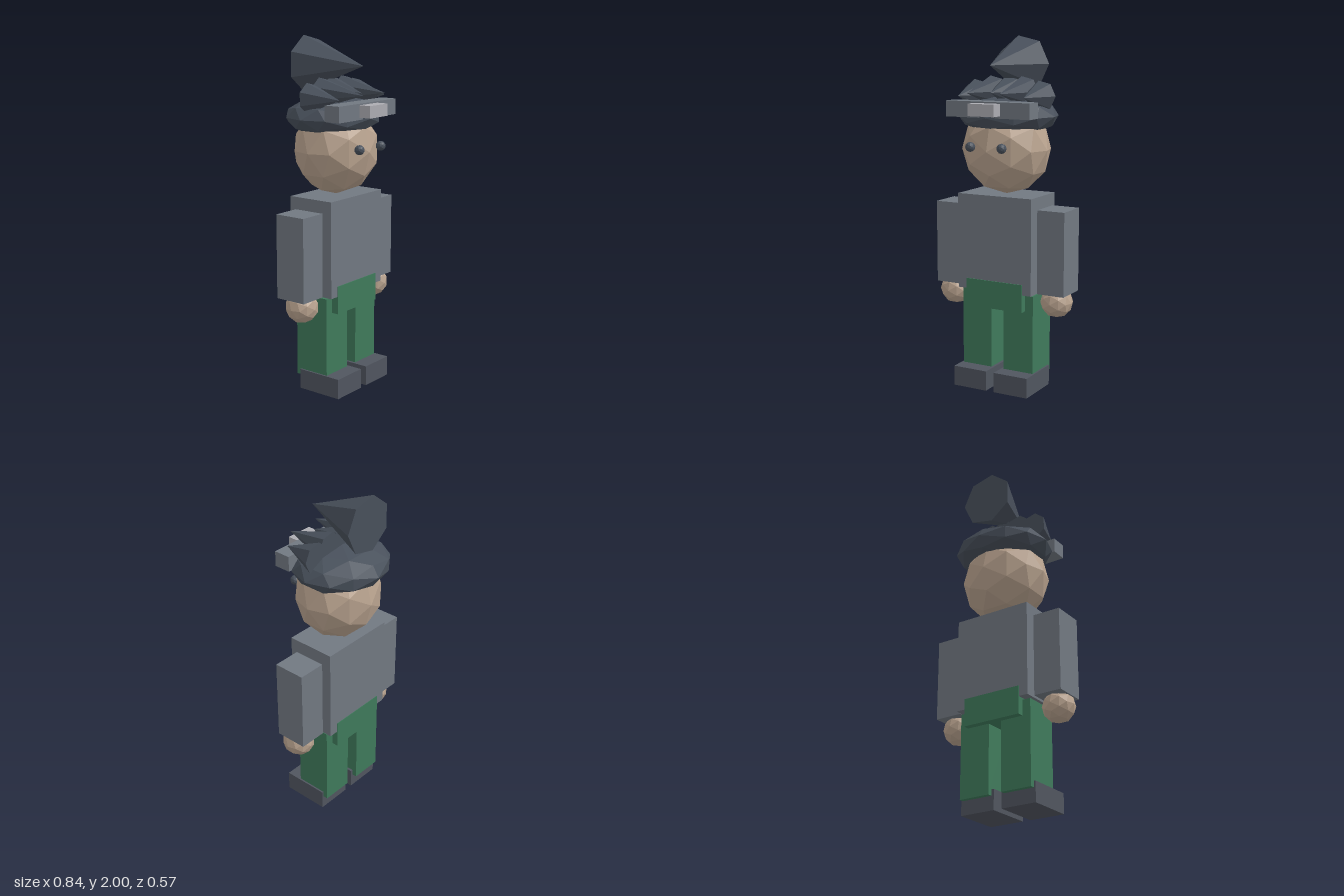
import * as THREE from 'three';

const paint = (name, color) =>
  new THREE.MeshStandardMaterial({ name, color, flatShading: true });

export function createModel() {
  const skin = paint('skin', 0xb8a28e);
  const cloth = paint('greyCloth', 0x717881);
  const green = paint('greenCloth', 0x3f7a5b);
  const shoe = paint('shoeGrey', 0x50555f);
  const hair = paint('darkHair', 0x48505b);
  const metal = paint('paleMetal', 0xacacb2);

  const model = new THREE.Group();
  model.name = 'figure';

  const add = (name, geometry, material) => {
    const mesh = new THREE.Mesh(geometry, material);
    mesh.name = name;
    model.add(mesh);
  };

  // Box given by its limits on each axis
  const box = (name, material, [x0, x1], [y0, y1], [z0, z1]) =>
    add(name, new THREE.BoxGeometry(x1 - x0, y1 - y0, z1 - z0)
      .translate((x0 + x1) / 2, (y0 + y1) / 2, (z0 + z1) / 2), material);

  // Faceted ball with its own radius on each axis
  const ball = (name, material, center, radii) =>
    add(name, new THREE.IcosahedronGeometry(1, 1).scale(...radii).translate(...center), material);

  // Seven-sided spike pointing forward, one corner towards +x
  const spike = (name, x, y, radius, zBase, zTip) =>
    add(name, new THREE.ConeGeometry(radius, zTip - zBase, 7)
      .rotateX(Math.PI / 2).rotateZ(Math.PI / 2)
      .translate(x, y, (zBase + zTip) / 2), hair);

  // Body
  box('torso', cloth, [-0.233, 0.233], [0.575, 1.122], [-0.15, 0.138]);
  box('hips', green, [-0.178, 0.178], [0.475, 0.635], [-0.153, 0.143]);

  // Limbs, mirrored
  for (const [side, s] of [['left', 1], ['right', -1]]) {
    const span = (a, b) => (s > 0 ? [a, b] : [-b, -a]);
    box(side + 'Arm', cloth, span(0.245, 0.41), [0.58, 1.055], [-0.102, 0.087]);
    ball(side + 'Hand', skin, [s * 0.33, 0.53, 0.008], [0.092, 0.09, 0.093]);
    box(side + 'Leg', green, span(0.04, 0.227), [0.08, 0.565], [-0.115, 0.1]);
    box(side + 'Shoe', shoe, span(0.025, 0.237), [0, 0.115], [-0.087, 0.19]);
    ball(side + 'Eye', hair, [s * 0.098, 1.4, 0.227], [0.028, 0.028, 0.028]);
  }

  // Head, hair cap and headband
  ball('head', skin, [0, 1.375, -0.008], [0.257, 0.257, 0.232]);
  ball('hairCap', hair, [0, 1.56, -0.028], [0.292, 0.115, 0.257]);
  box('headband', cloth, [-0.26, 0.26], [1.56, 1.648], [0.115, 0.213]);
  box('headbandPlate', metal, [-0.081, 0.081], [1.573, 1.64], [0.2, 0.283]);

  // Fringe of short and long spikes, and the large crest
  const fringe = [
    [-0.205, 1.672, 0.175], [-0.1, 1.694, 0.253], [0, 1.694, 0.172],
    [0.1, 1.694, 0.253], [0.205, 1.672, 0.175],
  ];
  fringe.forEach(([x, y, tip], i) => spike('fringeSpike' + (i + 1), x, y, 0.086, -0.036, tip));
  spike('crestSpike', 0, 1.842, 0.162, -0.211, 0.178);

  return model;
}
